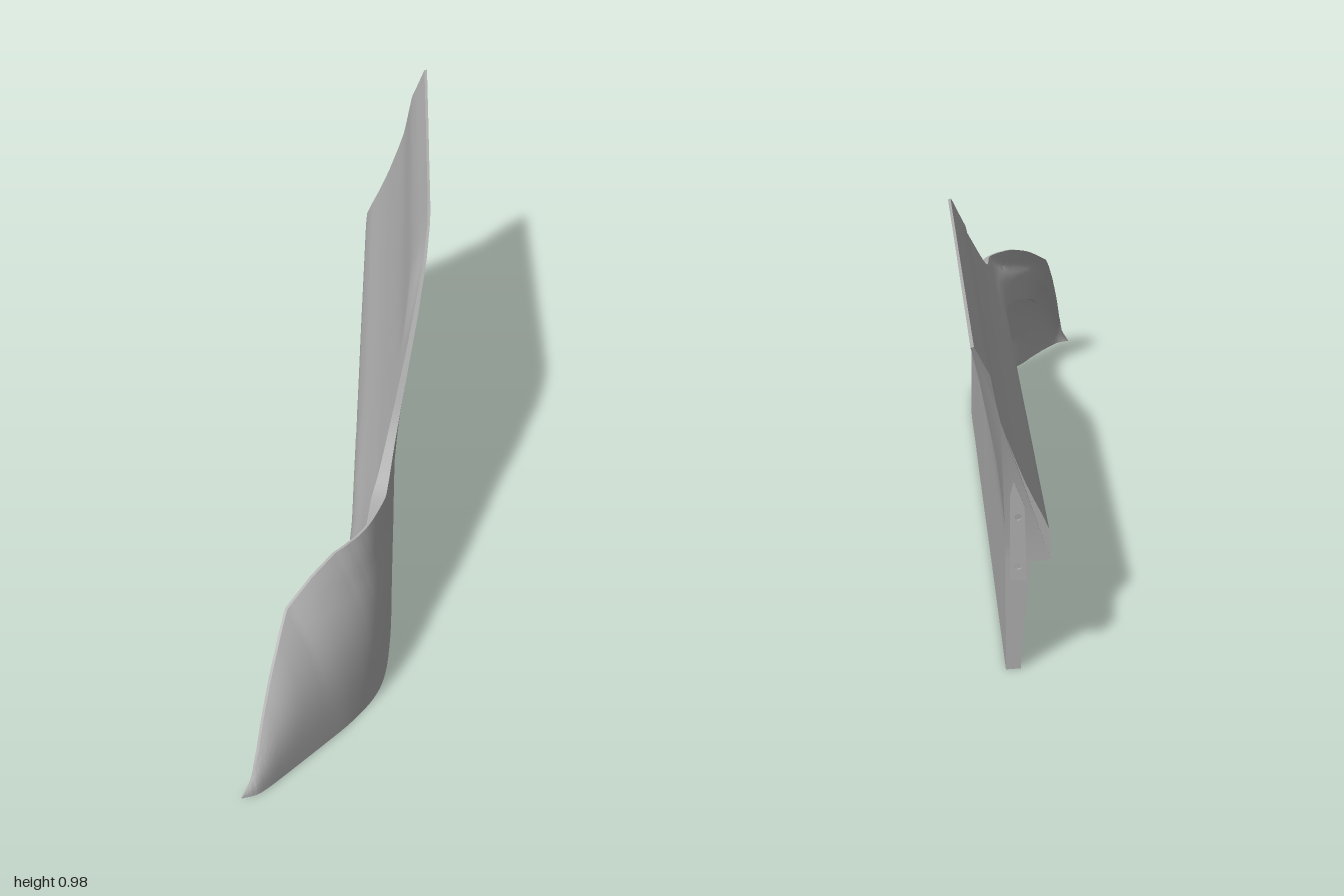
import * as THREE from 'three';
import { toCreasedNormals } from 'three/addons/utils/BufferGeometryUtils.js';

// Piecewise-linear lookup; keys must ascend
function lerpTable(table, x) {
  if (x <= table[0][0]) return table[0][1];
  for (let i = 1; i < table.length; i++) {
    const [x1, y1] = table[i], [x0, y0] = table[i - 1];
    if (x <= x1) return y0 + (y1 - y0) * (x - x0) / (x1 - x0);
  }
  return table[table.length - 1][1];
}

// Foot line of the panel from rear to nose: x, panel height, z
const spine = new THREE.CatmullRomCurve3([
  [0.88, 0.93, -0.92], [0.65, 0.95, -0.606], [0.42, 0.968, -0.292], [0.25, 0.98, -0.059],
  [0.19, 0.98, 0.023], [0.14, 0.967, 0.091], [0.09, 0.93, 0.16], [0.02, 0.85, 0.255],
  [-0.12, 0.68, 0.446], [-0.22, 0.57, 0.583], [-0.27, 0.522, 0.648], [-0.36, 0.51, 0.755],
  [-0.42, 0.505, 0.81], [-0.48, 0.498, 0.848], [-0.58, 0.467, 0.89], [-0.68, 0.415, 0.92],
  [-0.77, 0.34, 0.945], [-0.85, 0.23, 0.967], [-0.92, 0.12, 0.985], [-0.96, 0.06, 0.99],
  [-1, 0.003, 0.98]
].map(p => new THREE.Vector3(...p)), false, 'centripetal');

// Outward flare of the upper panel by height
const flare = [[0, 0], [0.4, 0], [0.5, 0.01], [0.6, 0.022], [0.72, 0.045], [0.84, 0.068], [0.93, 0.089], [1, 0.102]];
// Inner face above the overhang by height
const inside = [[0.31, -0.12], [0.39, -0.118], [0.42, -0.108], [0.46, -0.086], [0.55, -0.045],
  [0.66, -0.005], [0.76, 0.03], [0.93, 0.08], [1, 0.095]];
// Inward lean of the fender top by x
const lean = [[-1, 0], [-0.92, -0.03], [-0.85, -0.06], [-0.77, -0.09], [-0.68, -0.13], [-0.58, -0.13],
  [-0.48, -0.12], [-0.42, -0.1], [-0.36, -0.07], [-0.27, -0.03], [0, 0]];
const shell = [[-1, 0.003], [-0.85, 0.012], [-0.7, 0.028], [-0.4, 0.03]];
const bulge = [[-0.76, 0], [-0.6, 0.7], [-0.4, 1]];

// Cross-section loop: [offset outward, height]
function section(x, H) {
  const out = y => lerpTable(flare, y) + lerpTable(lean, x) * (y / H) ** 3;
  const t = lerpTable(shell, x), b = lerpTable(bulge, x);
  const k = Math.min(0.31, 0.62 * H);
  const recess = lerpTable([[0.78, 1], [0.82, 0]], x);
  const pts = [];
  for (let i = 0; i <= 20; i++) {
    const y = H * i / 20;
    pts.push([out(y), y]);
  }
  for (let i = 0; i <= 14; i++) {
    const y = H + (k - H) * i / 14;
    const thin = out(y) - Math.min(t, 0.008 + (H - y) * 0.25);
    pts.push([Math.min(thin, b * lerpTable(inside, y) + (1 - b) * thin), y]);
  }
  // underside of the overhang, then the lower wall with its long shallow groove
  for (const [f, d, g] of [[0.995, -0.066, 0.03], [0.8, -0.06, 0.03], [0.7, -0.057, 0.012],
    [0.6, -0.054, 0.012], [0.45, -0.05, 0.03], [0.3, -0.046, 0.026], [0.15, -0.043, 0.004], [0, -0.04, 0]]) {
    const y = k * f;
    pts.push([Math.min(out(y) - t, b * (d + g * recess) + (1 - b) * (out(y) - t)), y]);
  }
  return pts;
}

// Place a section point at a spine position
function place(p, along, d, y) {
  const shift = d > 0 ? 0.73 * d : 0.1 * d;
  return new THREE.Vector3(
    p.x + along.z * d - along.x * shift, y,
    p.z - along.x * d - along.z * shift);
}

function panelGeometry() {
  const N = 160, pos = [], index = [];
  let n = 0, first;
  for (let j = 0; j <= N; j++) {
    const p = spine.getPoint(j / N), a = spine.getTangent(j / N);
    a.y = 0;
    a.normalize();
    const loop = section(p.x, Math.max(p.y, 0.003));
    n = loop.length;
    if (j === 0) first = loop;
    for (const [d, y] of loop) pos.push(...place(p, a, d, y).toArray());
  }
  for (let j = 0; j < N; j++) for (let i = 0; i < n; i++) {
    const a = j * n + i, b = j * n + (i + 1) % n;
    index.push(a, b, a + n, b, b + n, a + n);
  }
  // rear end cap
  const contour = first.map(([d, y]) => new THREE.Vector2(d, y));
  for (const [a, b, c] of THREE.ShapeUtils.triangulateShape(contour, [])) index.push(a, c, b);
  const g = new THREE.BufferGeometry();
  g.setAttribute('position', new THREE.Float32BufferAttribute(pos, 3));
  g.setIndex(index);
  return toCreasedNormals(g, 0.6);
}

export function createModel() {
  const model = new THREE.Group();
  model.name = 'bodySidePanel';
  const grey = new THREE.MeshStandardMaterial({ color: 0xb0b0b0, side: THREE.DoubleSide });
  grey.name = 'grey';

  const panel = new THREE.Mesh(panelGeometry(), grey);
  panel.name = 'sidePanel';
  model.add(panel);

  // Thin mounting plate with screw holes on the rear end
  const plate = new THREE.Shape();
  [[-0.012, 0.26], [-0.012, 0.5], [-0.022, 0.54], [-0.05, 0.47], [-0.056, 0.26]]
    .forEach(([x, y], i) => i ? plate.lineTo(x, y) : plate.moveTo(x, y));
  for (const y of [0.3, 0.44]) {
    const hole = new THREE.Path();
    hole.absarc(-0.033, y, 0.009, 0, Math.PI * 2, true);
    plate.holes.push(hole);
  }
  const mount = new THREE.Mesh(new THREE.ExtrudeGeometry(plate, { depth: 0.006, bevelEnabled: false }), grey);
  mount.name = 'rearMountingPlate';
  const a = spine.getTangent(0).setY(0).normalize();
  const outward = new THREE.Vector3(a.z, 0, -a.x);
  mount.matrix.makeBasis(outward, new THREE.Vector3(0, 1, 0), a);
  mount.matrix.decompose(mount.position, mount.quaternion, mount.scale);
  mount.position.set(0.88, 0, -0.92).addScaledVector(a, -0.003);
  model.add(mount);
  return model;
}
